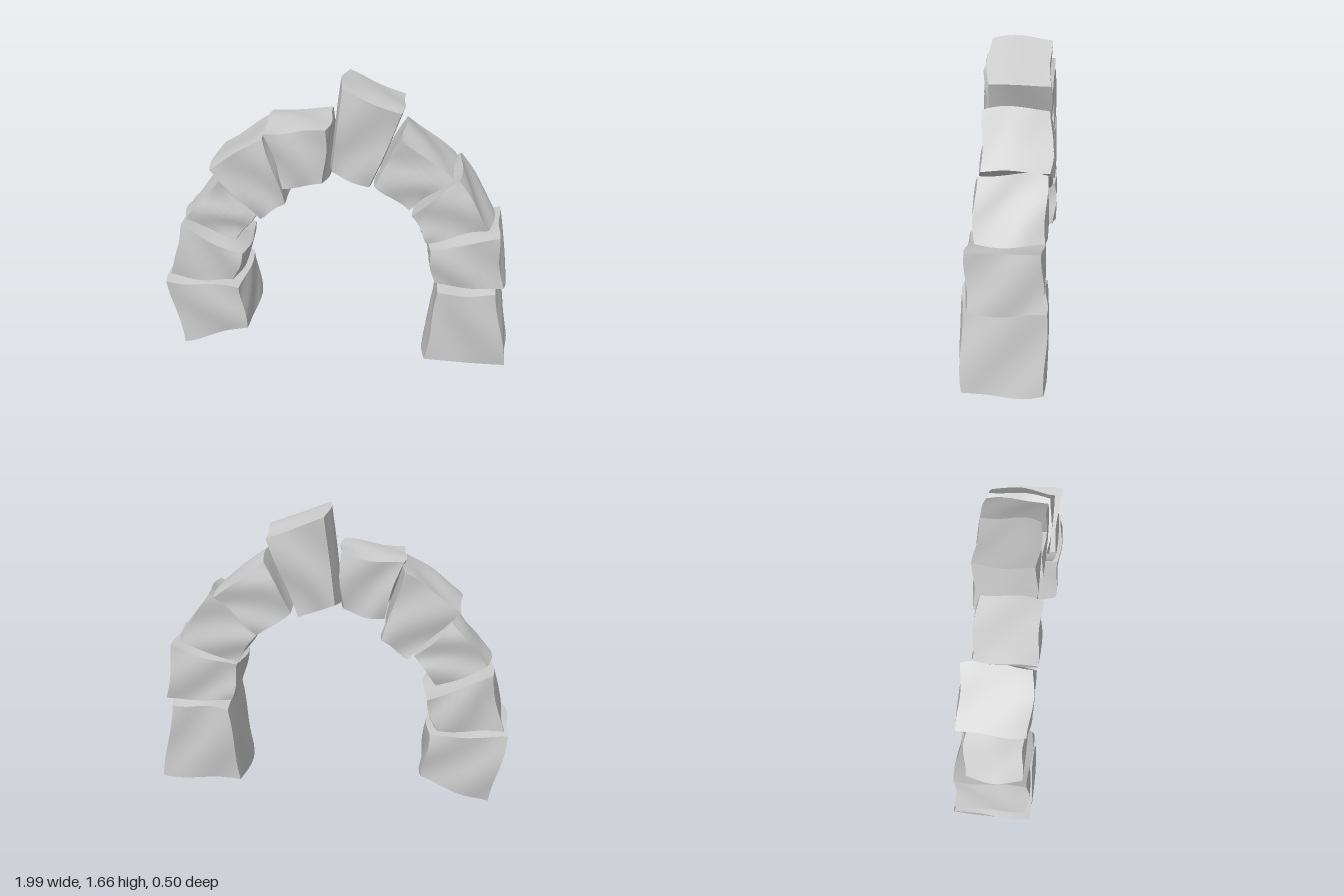
import * as THREE from 'three';

// Each stone: name, four outline corners (counter-clockwise, seen from the front), back z, front z
const STONES = [
  ['leftBaseStone', [[0.50, 0.055], [0.985, 0.06], [0.905, 0.55], [0.57, 0.53]], -0.20, 0.23],
  ['leftPierStone', [[0.54, 0.555], [0.94, 0.55], [0.89, 0.89], [0.50, 0.78]], -0.18, 0.20],
  ['leftLowerVoussoir', [[0.50, 0.79], [0.85, 0.90], [0.66, 1.20], [0.40, 0.96]], -0.19, 0.16],
  ['leftUpperVoussoir', [[0.39, 0.97], [0.63, 1.19], [0.35, 1.41], [0.20, 1.11]], -0.21, 0.14],
  ['keystone', [[0.17, 1.07], [0.345, 1.53], [0.01, 1.66], [-0.05, 1.15]], -0.20, 0.12],
  ['rightTopVoussoir', [[-0.29, 1.06], [-0.06, 1.11], [-0.045, 1.44], [-0.40, 1.40]], -0.17, 0.16],
  ['rightUpperVoussoir', [[-0.43, 0.86], [-0.28, 0.97], [-0.39, 1.38], [-0.71, 1.16]], -0.22, 0.15],
  ['rightLowerVoussoir', [[-0.58, 0.70], [-0.45, 0.88], [-0.67, 1.09], [-0.88, 0.83]], -0.18, 0.13],
  ['rightPierStone', [[-0.97, 0.46], [-0.58, 0.45], [-0.52, 0.64], [-0.89, 0.81]], -0.23, 0.17],
  ['rightBaseStone', [[-0.92, 0.01], [-0.51, 0.155], [-0.545, 0.44], [-1.0, 0.45]], -0.24, 0.19],
];

const lerp = THREE.MathUtils.lerp;

// A rough-hewn block: a divided box bent onto the outline, with a slight pillow and wavy edges
function stoneGeometry(corners, zBack, zFront, phase) {
  const geo = new THREE.BoxGeometry(1, 1, 1, 8, 8, 8);
  const pos = geo.attributes.position;
  const [a, b, c, d] = corners;
  const cx = (a[0] + b[0] + c[0] + d[0]) / 4;
  const cy = (a[1] + b[1] + c[1] + d[1]) / 4;
  for (let i = 0; i < pos.count; i++) {
    const u = pos.getX(i), v = pos.getY(i), w = pos.getZ(i);
    const s = u + 0.5, t = v + 0.5;
    let x = lerp(lerp(a[0], b[0], s), lerp(d[0], c[0], s), t);
    let y = lerp(lerp(a[1], b[1], s), lerp(d[1], c[1], s), t);
    // the front and back faces are a little smaller than the middle
    const inset = 1 - 0.24 * w * w;
    x = cx + (x - cx) * inset;
    y = cy + (y - cy) * inset;
    // faces swell slightly towards the middle
    const swell = 1 - 0.09 * (u * u + v * v);
    const z = (zBack + zFront) / 2 + w * (zFront - zBack) * swell * 1.03;
    // gentle hand-cut waves
    const n = 0.009;
    x += n * Math.sin(5 * v + 6 * w + phase * 2.1);
    y += n * 0.8 * Math.sin(6 * u - 5 * w + phase * 1.7);
    pos.setXYZ(i, x, y, z + n * Math.sin(6 * u + 5 * v + phase * 2.9));
  }
  // box faces do not share corners, so the faces are smooth and the edges sharp
  geo.computeVertexNormals();
  return geo;
}

export function createModel() {
  const arch = new THREE.Group();
  arch.name = 'stoneArch';
  const material = new THREE.MeshStandardMaterial({ color: 0xcccccc });
  STONES.forEach(([name, corners, zBack, zFront], i) => {
    const stone = new THREE.Mesh(stoneGeometry(corners, zBack, zFront, i), material);
    stone.name = name;
    arch.add(stone);
  });
  return arch;
}
